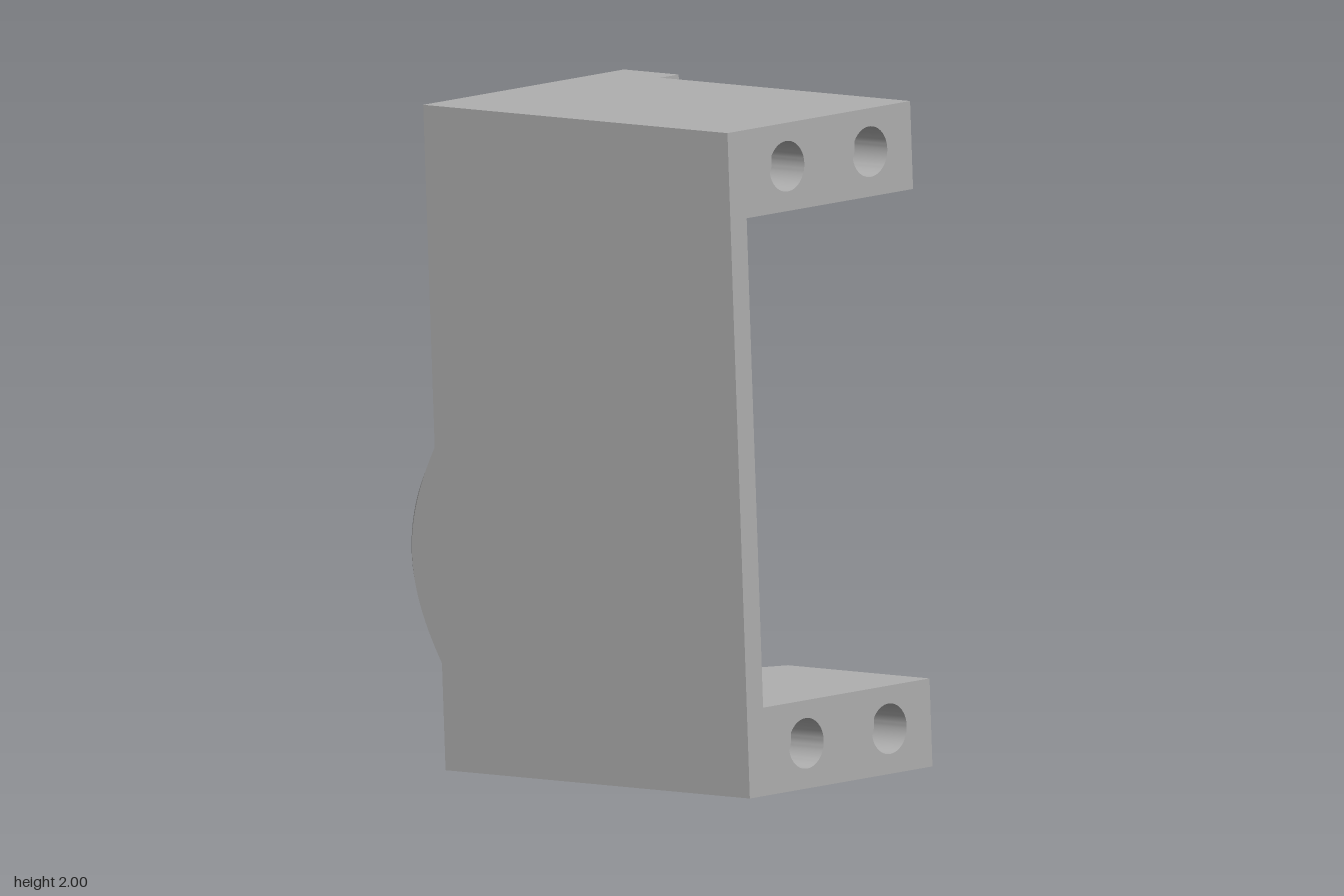
import * as THREE from 'three';
import { toCreasedNormals } from 'three/addons/utils/BufferGeometryUtils.js';

// Bracket dimensions: x across, y up, z from 0 (front) back to -DEPTH
const HEIGHT = 1.951, WIDTH = 0.775, FULL = 0.852, DEPTH = 1.213;
const SLAB = 0.258, SIDE = 0.069, INNER = -1.145, LIP_FRONT = -0.995;
const SCREW_DEPTH = 0.13;
const PAD = { x: 0.425, y: 0.63, r: 0.4, base: 0.53, t: 0.13, step: 0.175 };

export function createModel() {
  const grey = new THREE.MeshStandardMaterial({ color: 0xb0b0b0, side: THREE.DoubleSide });
  grey.name = 'plain grey';
  const bracket = new THREE.Group();
  bracket.name = 'bracket';

  const add = (name, geometry) => {
    const mesh = new THREE.Mesh(geometry, grey);
    mesh.name = name;
    bracket.add(mesh);
    return mesh;
  };
  const box = (name, x0, x1, y0, y1, z0, z1) =>
    add(name, new THREE.BoxGeometry(x1 - x0, y1 - y0, z1 - z0))
      .position.set((x0 + x1) / 2, (y0 + y1) / 2, (z0 + z1) / 2);
  const outline = (points) => new THREE.Shape(points.map(([x, y]) => new THREE.Vector2(x, y)));
  const rect = (x0, x1, y0, y1) => outline([[x0, y0], [x1, y0], [x1, y1], [x0, y1]]);
  const drill = (shape, centres, r) => {
    for (const [x, y] of centres) {
      shape.holes.push(new THREE.Path().absarc(x, y, r, 0, Math.PI * 2, true));
    }
    return shape;
  };
  // Extrude a front-facing shape between two depths, keeping round walls smooth
  const slab = (name, shape, z0, z1) => {
    const g = new THREE.ExtrudeGeometry(shape, { depth: z1 - z0, bevelEnabled: false, curveSegments: 32 });
    add(name, toCreasedNormals(g, 0.6)).position.z = z0;
  };

  // Side wall and top block
  box('sideWall', 0, SIDE, SLAB, HEIGHT - SLAB, INNER, 0);
  box('topBlock', 0, WIDTH, HEIGHT - SLAB, HEIGHT, INNER, -SCREW_DEPTH);

  // Bottom block with the cable slot cut toward the back
  const floor = outline([
    [0, SCREW_DEPTH], [WIDTH, SCREW_DEPTH], [WIDTH, 0.565], [0.278, 0.834],
    [0.278, 1.045], [WIDTH, 1.045], [WIDTH, -INNER], [0, -INNER],
  ]);
  const floorGeometry = new THREE.ExtrudeGeometry(floor, { depth: SLAB, bevelEnabled: false });
  floorGeometry.rotateX(-Math.PI / 2);
  add('bottomBlock', floorGeometry);

  // Front ends of both blocks with blind screw holes
  for (const [name, y0] of [['bottomFrontEnd', 0], ['topFrontEnd', HEIGHT - SLAB]]) {
    const y = y0 + SLAB / 2 + (y0 ? 0.002 : 0.003);
    slab(name, drill(rect(0, WIDTH, y0, y0 + SLAB), [[0.246, y], [0.598, y]], 0.074), -SCREW_DEPTH, 0);
  }

  // Back wall with counterbores, and the lip along its open edge
  const bolts = [];
  for (const sx of [-1, 1]) {
    for (const sy of [-1, 1]) bolts.push([PAD.x + sx * PAD.step, PAD.y + sy * PAD.step]);
  }
  slab('backWall', drill(rect(0, WIDTH, 0, HEIGHT), bolts, 0.119), -DEPTH, INNER);
  box('lip', WIDTH, FULL, 0, HEIGHT, -DEPTH, LIP_FRONT);

  // Round mounting pad: counterbored layer, then the drilled outer layer
  const disc = () => new THREE.Shape().absarc(PAD.x, PAD.y, PAD.r, 0, Math.PI * 2);
  const seat = -DEPTH - 0.053;
  slab('padCore', drill(disc(), bolts, 0.119), seat, -DEPTH);
  slab('padFace', drill(disc(), bolts, 0.065), -DEPTH - PAD.t, seat);

  // Conical pad skirt, trimmed flush with both sides of the bracket
  const positions = [], index = [], N = 128;
  for (let i = 0; i <= N; i++) {
    const a = (i / N) * Math.PI * 2, c = Math.cos(a), s = Math.sin(a);
    const limit = c > 0 ? FULL - PAD.x : PAD.x;
    const rim = Math.min(PAD.base, limit / Math.max(Math.abs(c), 1e-6));
    const rimHeight = PAD.t - (rim - PAD.r) * PAD.t / (PAD.base - PAD.r);
    for (const [r, h] of [[PAD.r, PAD.t], [rim, rimHeight], [rim, 0]]) {
      positions.push(PAD.x + r * c, PAD.y + r * s, -DEPTH - h);
    }
    if (i === N) continue;
    for (let k = 0; k < 2; k++) {
      const p = i * 3 + k, q = p + 3;
      index.push(p, q, p + 1, q, q + 1, p + 1);
    }
  }
  const skirt = new THREE.BufferGeometry();
  skirt.setAttribute('position', new THREE.Float32BufferAttribute(positions, 3));
  skirt.setIndex(index);
  add('padSkirt', toCreasedNormals(skirt, 0.4));

  // Tilt and turn the bracket into its resting pose
  const across = new THREE.Vector3(0.987, 0.013, -0.161).normalize();
  const out = across.clone().cross(new THREE.Vector3(-0.018, 0.9994, -0.031)).normalize();
  const up = out.clone().cross(across);
  bracket.quaternion.setFromRotationMatrix(new THREE.Matrix4().makeBasis(across, up, out));
  bracket.position.set(-0.27, 0.042, 0.74);

  const model = new THREE.Group();
  model.name = 'model';
  model.add(bracket);
  return model;
}
